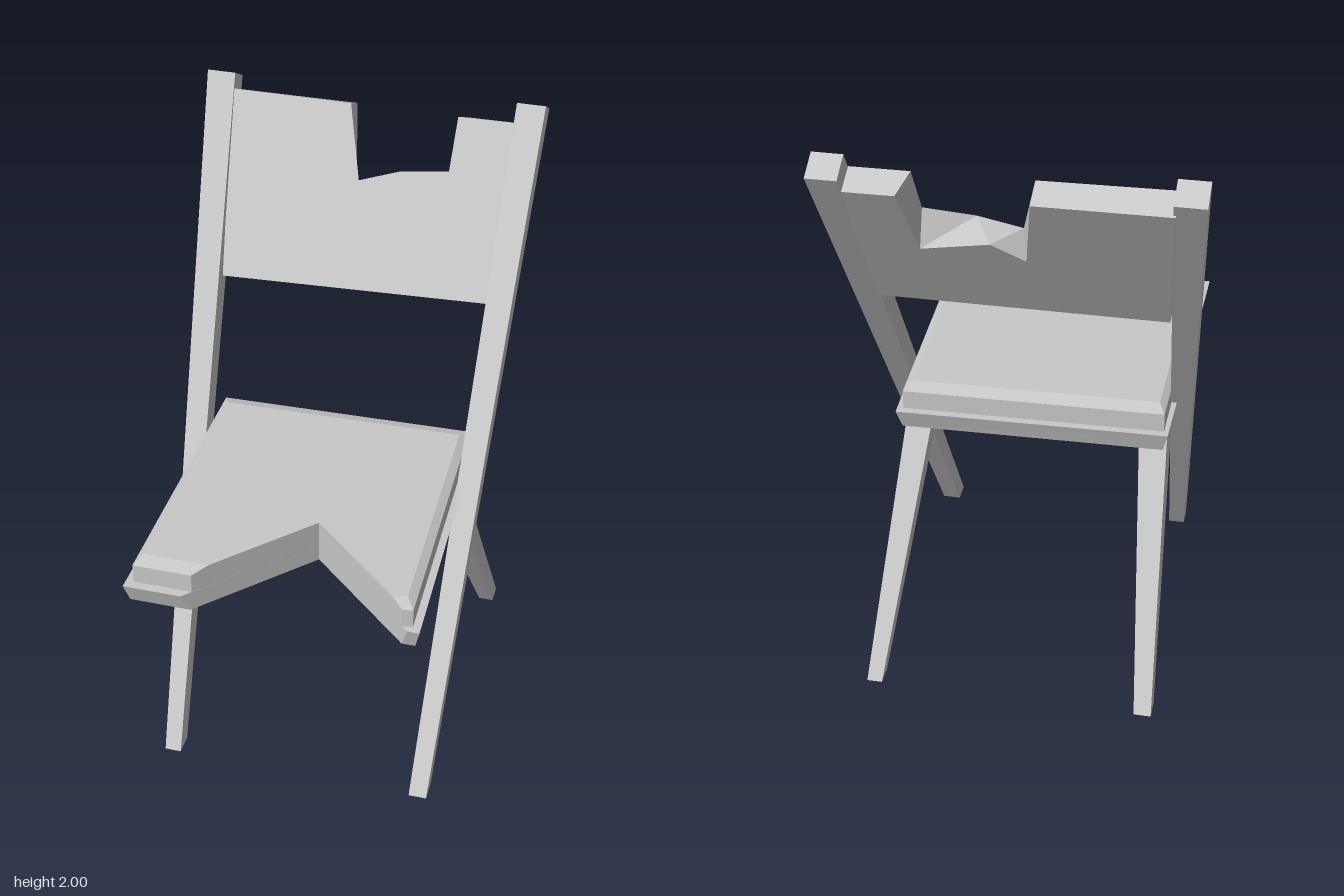
import * as THREE from 'three';

// Solid from rings of [x, y, z] corners; end caps are triangulated in the plane of axes u, v
function loft(rings, u, v) {
  const tris = [], n = rings[0].length;
  for (let r = 0; r + 1 < rings.length; r++) {
    const lo = rings[r], hi = rings[r + 1];
    for (let j = 0; j < n; j++) {
      const k = (j + 1) % n;
      tris.push([lo[j], lo[k], hi[k]], [lo[j], hi[k], hi[j]]);
    }
  }
  const cap = (ring, flip) => {
    const flat = ring.map(p => new THREE.Vector2(p[u], p[v]));
    const sign = THREE.ShapeUtils.area(flat) > 0;
    for (const f of THREE.ShapeUtils.triangulateShape(flat, [])) {
      const same = (THREE.ShapeUtils.area(f.map(i => flat[i])) > 0) === sign;
      const t = f.map(i => ring[i]);
      tris.push(same === flip ? t.reverse() : t);
    }
  };
  cap(rings[0], true);
  cap(rings[rings.length - 1], false);

  // Turn the whole solid right side out if its volume is negative
  const vec = p => new THREE.Vector3(...p);
  const volume = tris.reduce((s, [a, b, c]) => s + vec(a).dot(vec(b).cross(vec(c))), 0);
  if (volume < 0) tris.forEach(t => t.reverse());
  const geo = new THREE.BufferGeometry();
  geo.setAttribute('position', new THREE.Float32BufferAttribute(tris.flat(2), 3));
  geo.computeVertexNormals();
  return geo;
}

// Four corners of a leg end: x range, then front and back edges as [y, z]
const legEnd = (x0, x1, [yf, zf], [yb, zb]) =>
  [[x0, yf, zf], [x1, yf, zf], [x1, yb, zb], [x0, yb, zb]];

export function createModel() {
  const chair = new THREE.Group();
  chair.name = 'chair';
  const grey = new THREE.MeshStandardMaterial({ color: 0xc8c8c8, flatShading: true });
  grey.name = 'plainGrey';
  const add = (name, rings, u, v) => {
    const mesh = new THREE.Mesh(loft(rings, u, v), grey);
    mesh.name = name;
    chair.add(mesh);
  };

  // Long front legs that run up into the back posts, splaying outward
  add('rightPost', [
    legEnd(-0.42, -0.365, [0, 0.53], [0, 0.46]),
    legEnd(-0.57, -0.475, [2, -0.63], [1.955, -0.71])], 0, 2);
  add('leftPost', [
    legEnd(0.44, 0.5, [0, 0.525], [0, 0.455]),
    legEnd(0.47, 0.565, [2, -0.655], [1.955, -0.735])], 0, 2);

  // Short rear legs
  add('rightRearLeg', [
    legEnd(-0.45, -0.393, [0, -0.54], [0, -0.61]),
    legEnd(-0.415, -0.32, [0.84, -0.01], [0.84, -0.13])], 0, 2);
  add('leftRearLeg', [
    legEnd(0.464, 0.515, [0, -0.54], [0, -0.61]),
    legEnd(0.365, 0.455, [0.84, -0.01], [0.84, -0.13])], 0, 2);

  // Seat outlines share the notch point in the front edge
  const level = (y, pts) => pts.map(([x, z]) => [x, y, z]);
  const notch = [0.085, 0.365];
  add('seatFrame', [
    level(0.82, [[-0.435, 0.71], [-0.236, 0.71], notch, [0.435, 0.69], [0.478, 0.69],
      [0.445, -0.27], [-0.415, -0.25]]),
    level(0.89, [[-0.447, 0.735], [-0.258, 0.735], notch, [0.456, 0.71], [0.494, 0.71],
      [0.46, -0.295], [-0.432, -0.272]])], 0, 2);
  const cushion = [[-0.422, 0.705], [-0.231, 0.705], notch, [0.434, 0.69], [0.468, 0.685],
    [0.44, -0.268], [-0.417, -0.247]];
  add('seatCushion', [
    level(0.885, cushion),
    level(0.955, cushion),
    level(0.97, [[-0.4, 0.66], [-0.189, 0.66], notch, [0.395, 0.653], [0.44, 0.64],
      [0.415, -0.22], [-0.395, -0.2]])], 0, 2);

  // Leaning backrest with a broken notch; depth follows the height on each face
  const front = [[-0.44, 1.4], [0.46, 1.42], [0.475, 1.945], [0.287, 1.945], [0.28, 1.787],
    [0.12, 1.77], [-0.015, 1.73], [-0.072, 1.948], [-0.48, 1.953]];
  const back = [[-0.44, 1.385], [0.46, 1.395], [0.475, 1.905], [0.315, 1.905], [0.285, 1.66],
    [0.07, 1.71], [-0.03, 1.64], [-0.072, 1.91], [-0.48, 1.91]];
  add('backrest', [
    back.map(([x, y]) => [x, y, -0.39 - 0.5865 * (y - 1.385) - 0.015 * x]),
    front.map(([x, y]) => [x, y, -0.335 - 0.5185 * (y - 1.41) - 0.015 * x])], 0, 1);

  return chair;
}
